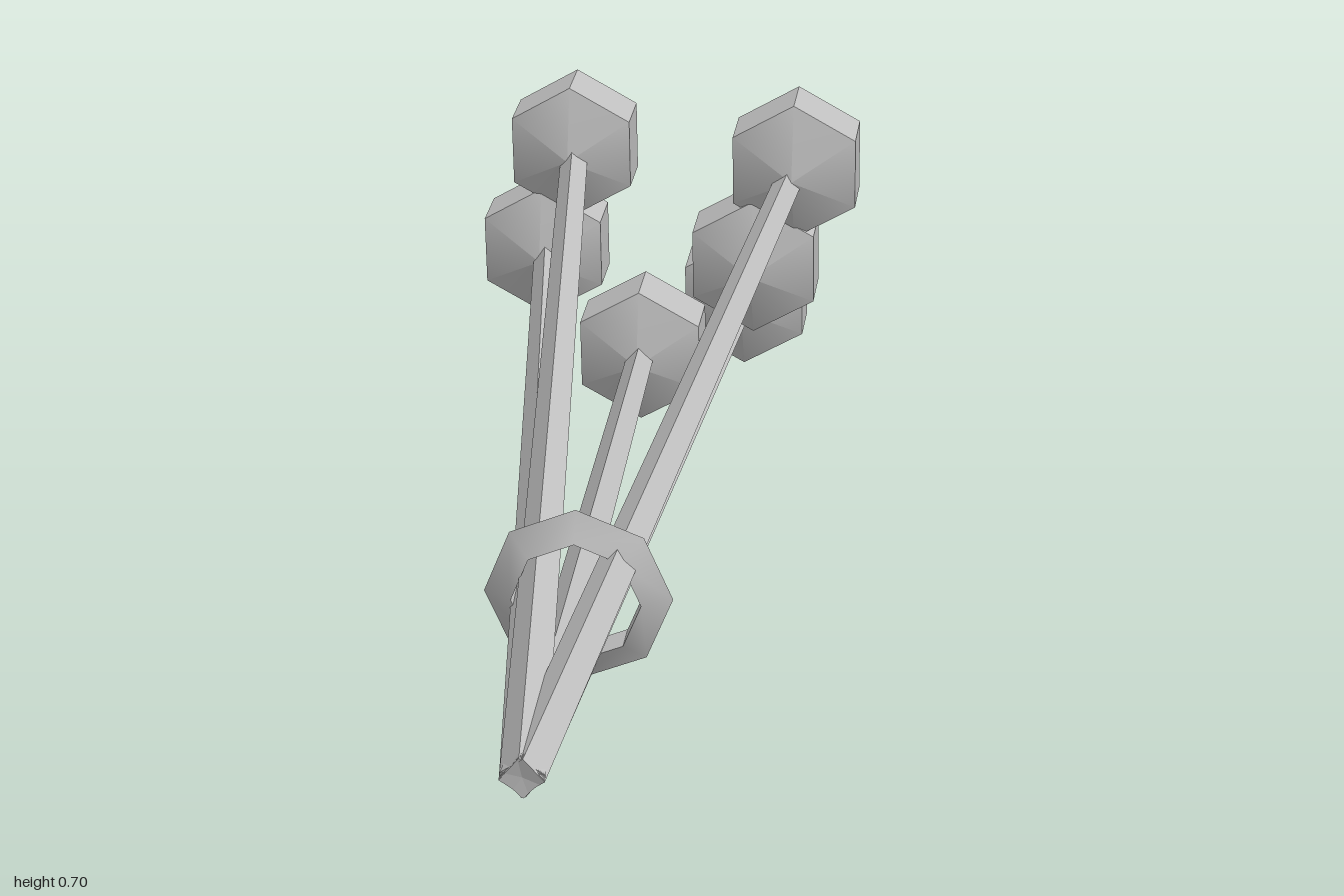
import * as THREE from 'three';
import { toCreasedNormals } from 'three/addons/utils/BufferGeometryUtils.js';

const TILT = THREE.MathUtils.degToRad(9.5);
const CREASE = THREE.MathUtils.degToRad(40);
const ROOT = new THREE.Vector3(0.03, 0.056, 0.995);

// Centre of each flower head
const HEADS = [
  [-0.187, 0.555, -0.867],
  [0.245, 0.571, -0.687],
  [-0.246, 0.355, -0.9],
  [0.171, 0.388, -0.71],
  [0.135, 0.275, -0.896],
  [-0.04, 0.203, -0.743],
];

export function createModel() {
  const group = new THREE.Group();
  const grey = new THREE.MeshStandardMaterial({ color: 0xbfbfbf });
  grey.name = 'grey';

  const add = (name, geometry) => {
    const mesh = new THREE.Mesh(toCreasedNormals(geometry, CREASE), grey);
    mesh.name = name;
    group.add(mesh);
    return mesh;
  };

  // Six-sided head with shallow domes front and back
  const headGeometry = new THREE.SphereGeometry(1, 6, 3);
  headGeometry.rotateY(Math.PI / 6);
  headGeometry.rotateX(Math.PI / 2);
  headGeometry.scale(0.1465, 0.1465, 0.1);

  const up = new THREE.Vector3(0, 1, 0);
  for (const position of HEADS) {
    const centre = new THREE.Vector3(...position);

    const head = add('flowerHead', headGeometry);
    head.position.copy(centre);
    head.rotation.x = TILT;

    // Tapered square stem from the common root to the head
    const along = centre.clone().sub(ROOT);
    const stem = add('stem', new THREE.CylinderGeometry(0.025, 0.033, along.length(), 4));
    stem.position.copy(ROOT).addScaledVector(along, 0.5);
    stem.quaternion.setFromUnitVectors(up, along.normalize());
  }

  // Eight-sided ring with a triangular section, holding the stems
  const ring = add('ring', new THREE.TorusGeometry(0.1155, 0.0305, 3, 8));
  ring.position.set(0.03, 0.147, 0.488);
  ring.rotation.x = TILT;

  return group;
}
